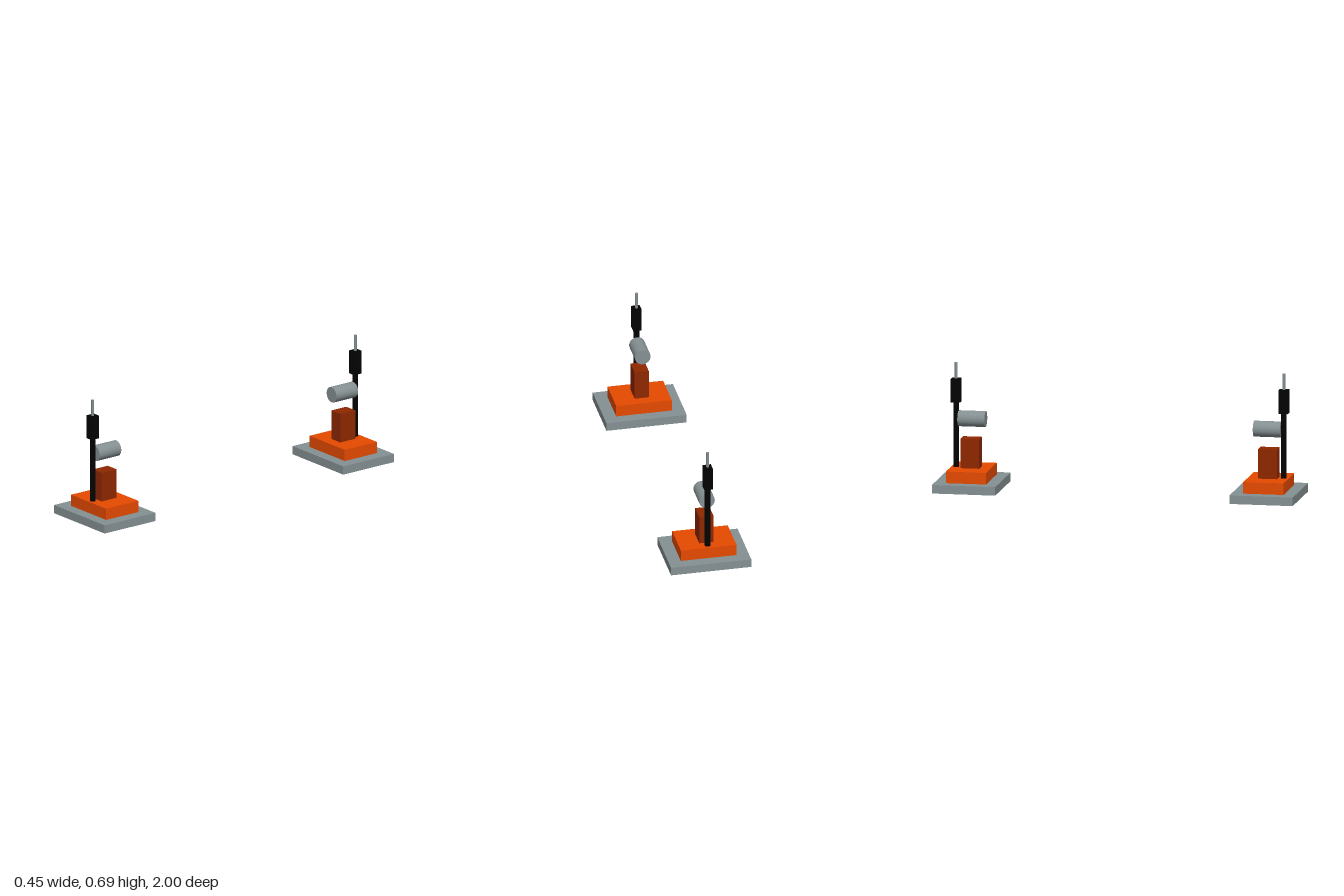
import * as THREE from 'three';

const mat = (name, color) => {
  const m = new THREE.MeshStandardMaterial({ color });
  m.name = name;
  return m;
};

export function createModel() {
  const grey = mat('steel grey', 0x859092);
  const orange = mat('burnt orange', 0xe64a00);
  const brown = mat('rust brown', 0x8f2800);
  const black = mat('black', 0x020202);

  const add = (group, name, geometry, material, y, z) => {
    const mesh = new THREE.Mesh(geometry, material);
    mesh.name = name;
    mesh.position.set(0, y, z);
    group.add(mesh);
    return mesh;
  };

  // Box and upright cylinder given by their lower and upper heights
  const box = (g, name, m, w, y0, y1, z0, z1) =>
    add(g, name, new THREE.BoxGeometry(w, y1 - y0, z1 - z0), m, (y0 + y1) / 2, (z0 + z1) / 2);
  const rod = (g, name, m, r, y0, y1, z) =>
    add(g, name, new THREE.CylinderGeometry(r, r, y1 - y0, 24), m, (y0 + y1) / 2, z);

  // One station, standing at the +z end and facing the middle
  const createStation = (name) => {
    const g = new THREE.Group();
    g.name = name;
    box(g, 'basePlate', grey, 0.447, 0, 0.047, 0.649, 1);
    box(g, 'upperPlate', orange, 0.31, 0.047, 0.111, 0.713, 0.936);
    box(g, 'pedestal', brown, 0.079, 0.111, 0.274, 0.773, 0.877);
    rod(g, 'post', black, 0.016, 0.111, 0.47, 0.908);
    box(g, 'headBox', black, 0.047, 0.47, 0.6, 0.882, 0.934);
    rod(g, 'antenna', grey, 0.008, 0.6, 0.69, 0.908);
    // Horizontal drum pointing to the middle
    const drum = add(g, 'drum', new THREE.CylinderGeometry(0.0435, 0.0435, 0.15, 32), grey, 0.38, 0.819);
    drum.rotation.x = Math.PI / 2;
    return g;
  };

  const model = new THREE.Group();
  model.name = 'pairedStations';
  const front = createStation('frontStation');
  const back = createStation('backStation');
  back.rotation.y = Math.PI;
  model.add(front, back);
  return model;
}
